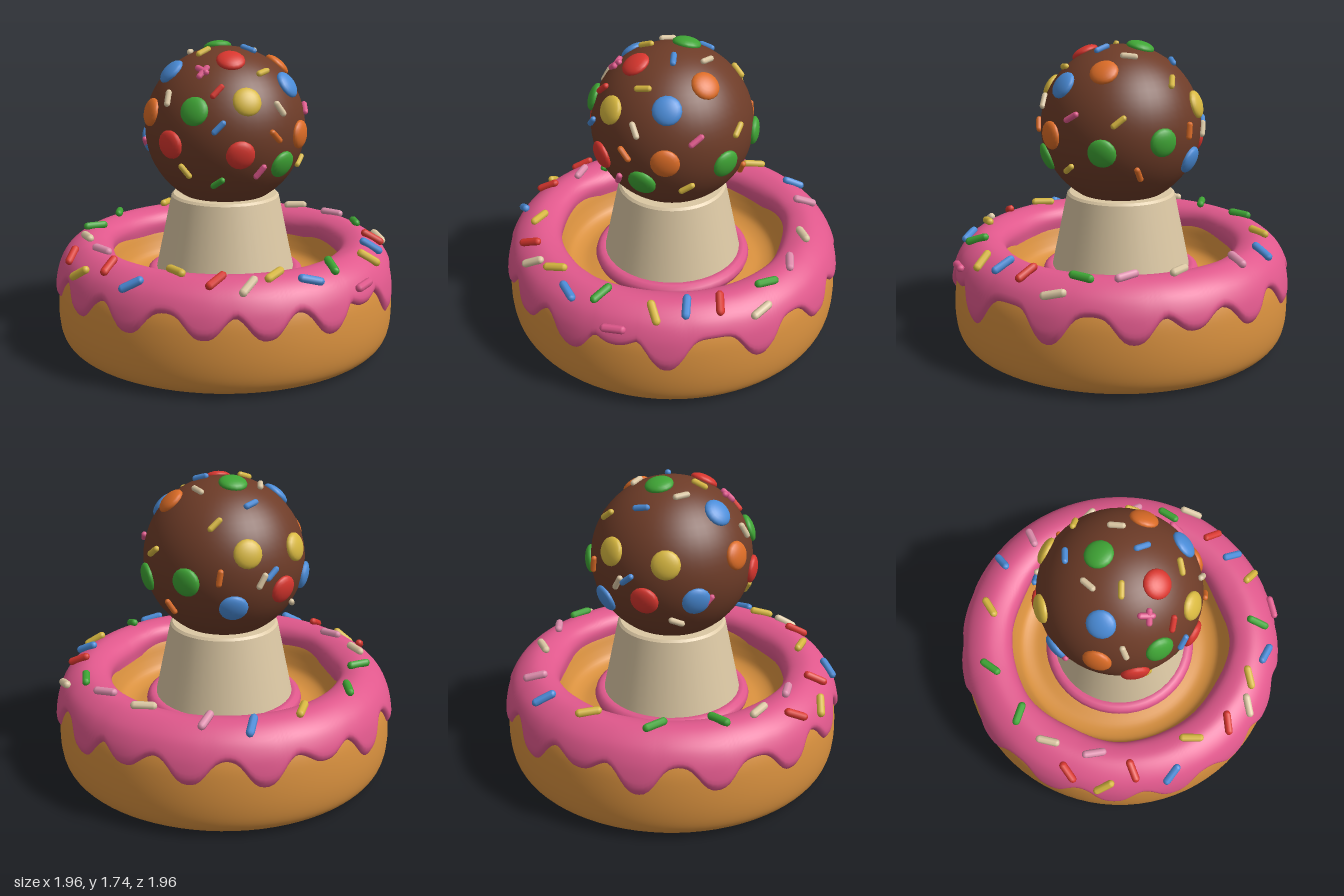
import * as THREE from 'three';

const mat = (name, color) => new THREE.MeshStandardMaterial({ name, color });

export function createModel() {
  const M = {
    dough: mat('dough', 0xd8903e), icing: mat('pink icing', 0xe0588c), cream: mat('cream', 0xdcc8a4),
    choc: mat('chocolate', 0x6e3c28), red: mat('red', 0xd9362e), blue: mat('blue', 0x4a8cd8),
    green: mat('green', 0x3fa535), yellow: mat('yellow', 0xd8b840), orange: mat('orange', 0xdc6c26),
    pale: mat('pale pink', 0xdf8fae),
  };
  const root = new THREE.Group();
  root.name = 'donutTreat';
  const add = (name, geo, m, parent = root) => {
    const mesh = new THREE.Mesh(geo, m);
    mesh.name = name;
    parent.add(mesh);
    return mesh;
  };
  const group = (name) => {
    const g = new THREE.Group();
    g.name = name;
    root.add(g);
    return g;
  };
  const V2 = (p) => p.map(([x, y]) => new THREE.Vector2(x, y));

  // Dough ring with a shallow floor in its hole
  const doughCurve = new THREE.SplineCurve(V2([
    [0, 0], [0.5, 0], [0.8, 0], [0.88, 0.008], [0.935, 0.04], [0.966, 0.1], [0.978, 0.2], [0.972, 0.32],
    [0.95, 0.43], [0.9, 0.52], [0.8, 0.575], [0.72, 0.565], [0.675, 0.5], [0.645, 0.42], [0.61, 0.36],
    [0.54, 0.335], [0.46, 0.345], [0.38, 0.36]]));
  const doughPts = doughCurve.getPoints(72).map((p) => new THREE.Vector2(Math.max(p.x, 0), Math.max(p.y, 0)));
  add('dough', new THREE.LatheGeometry(doughPts, 80), M.dough);

  // Icing: a cross-section swept round, its lower edge running down in drips
  const section = new THREE.SplineCurve(V2([
    [0.668, 0.47], [0.662, 0.54], [0.7, 0.595], [0.78, 0.62], [0.85, 0.605], [0.92, 0.555],
    [0.963, 0.485], [0.985, 0.41], [0.996, 0.33], [0.998, 0.23]]));
  // [angle in degrees from the front, lowest height]
  const drips = [[-55, 0.3], [-30, 0.31], [-10.5, 0.3], [11.5, 0.28], [27, 0.39], [44, 0.25], [75, 0.26],
    [102, 0.29], [121, 0.35], [143, 0.3], [167, 0.28], [188, 0.37], [208, 0.27], [233, 0.29], [260, 0.29], [283, 0.3]];
  const edgeHeight = (deg) => {
    let y = 0.445;
    for (const [a, low] of drips) {
      const d = ((deg - a + 540) % 360) - 180;
      y = Math.min(y, 0.445 - (0.445 - low) * Math.exp(-Math.pow(Math.abs(d) / 6.6, 2.6)));
    }
    return y;
  };
  const findT = (lo, hi, before) => {
    for (let k = 0; k < 20; k++) {
      const mid = (lo + hi) / 2;
      if (before(section.getPoint(mid))) lo = mid; else hi = mid;
    }
    return lo;
  };
  const N = 240, R = 30, pos = [], idx = [];
  for (let i = 0; i < N; i++) {
    const phi = (i / N) * Math.PI * 2;
    const yEnd = edgeHeight((i / N) * 360);
    const t1 = findT(0.4, 1, (p) => p.y > yEnd);
    const wave = 0.012 * Math.sin(phi * 5 + 1) + 0.008 * Math.sin(phi * 8);
    for (let j = 0; j <= R; j++) {
      const u = j / R;
      const p = section.getPoint(t1 * u);
      const r = p.x + wave * Math.max(0, 1 - u * 3) - 0.05 * Math.pow(Math.max(0, (u - 0.87) / 0.13), 3);
      pos.push(r * Math.sin(phi), p.y, r * Math.cos(phi));
      if (j < R) {
        const a = i * (R + 1) + j, c = ((i + 1) % N) * (R + 1) + j;
        idx.push(a, a + 1, c, a + 1, c + 1, c);
      }
    }
  }
  const icing = new THREE.BufferGeometry();
  icing.setAttribute('position', new THREE.Float32BufferAttribute(pos, 3));
  icing.setIndex(idx);
  icing.computeVertexNormals();
  M.icing.side = THREE.DoubleSide;
  add('icing', icing, M.icing);

  // Icing collar round the foot of the stem
  const collar = add('icingCollar', new THREE.TorusGeometry(0.415, 0.045, 10, 48), M.icing);
  collar.rotation.x = Math.PI / 2;
  collar.position.y = 0.39;

  // Tapered stem and chocolate ball
  add('stem', new THREE.LatheGeometry(V2([[0.43, 0.3], [0.43, 0.3], [0.313, 0.86], [0.313, 0.86], [0.3, 0.873],
    [0.3, 0.873], [0, 0.873]]), 40), M.cream);
  const BALL = 0.458, CY = 1.26;
  add('chocolateBall', new THREE.SphereGeometry(BALL, 48, 32), M.choc).position.y = CY;

  // Directions seen from each side: [right, up, toward the viewer]
  const X = new THREE.Vector3(1, 0, 0), Y = new THREE.Vector3(0, 1, 0), Z = new THREE.Vector3(0, 0, 1);
  const neg = (v) => v.clone().negate();
  const side = { front: [X, Y, Z], back: [neg(X), Y, neg(Z)], right: [neg(Z), Y, X], left: [Z, Y, neg(X)], top: [X, neg(Z), Y] };
  const onBall = (s, u, v) => {
    const [e, n, f] = side[s];
    const w = Math.sqrt(Math.max(0, BALL * BALL - u * u - v * v));
    return new THREE.Vector3().addScaledVector(e, u).addScaledVector(n, v).addScaledVector(f, w).normalize();
  };
  const heading = (s, deg) => {
    const a = THREE.MathUtils.degToRad(deg);
    return side[s][0].clone().multiplyScalar(Math.cos(a)).addScaledVector(side[s][1], Math.sin(a));
  };

  // Round candies: [side, u, v from the ball centre, colour]
  const candies = group('candies');
  const candyGeo = new THREE.SphereGeometry(1, 18, 12).scale(0.08, 0.034, 0.08);
  for (const [s, u, v, c] of [
    ['front', -0.06, 0.4, 'red'], ['top', -0.32, 0.01, 'blue'], ['top', 0.3, -0.05, 'orange'], ['front', 0.25, 0.26, 'blue'],
    ['front', -0.05, 0.2, 'yellow'], ['front', -0.31, 0.15, 'green'], ['front', -0.41, -0.04, 'red'],
    ['front', -0.1, -0.08, 'red'], ['front', 0.3, -0.01, 'orange'], ['front', 0.17, -0.16, 'green'],
    ['right', -0.04, -0.07, 'green'], ['right', 0.28, -0.02, 'green'], ['left', 0, 0.11, 'orange'],
    ['top', 0, 0.11, 'green'], ['back', -0.14, -0.16, 'blue'], ['back', -0.07, 0.14, 'yellow'],
    ['back', 0.25, 0.12, 'yellow'], ['back', 0.15, -0.09, 'red'], ['back', 0.37, -0.09, 'blue']]) {
    const n = onBall(s, u, v);
    const m = add('candy', candyGeo, M[c], candies);
    m.position.copy(n).multiplyScalar(BALL).add(new THREE.Vector3(0, CY, 0));
    m.quaternion.setFromUnitVectors(Y, n);
  }

  // Sprinkles lie flat on a surface point, along a heading
  const rod = (r, len) => new THREE.CapsuleGeometry(r, len - 2 * r, 3, 8);
  const lay = (geo, c, point, normal, dir, parent) => {
    const m = add('sprinkle', geo, M[c], parent);
    const d = dir.clone().addScaledVector(normal, -dir.dot(normal)).normalize();
    m.position.copy(point);
    m.quaternion.setFromUnitVectors(Y, d);
  };

  // Ball sprinkles: [side, u, v, heading, colour]
  const ballSprinkles = group('ballSprinkles');
  const smallRod = rod(0.017, 0.1);
  for (const [s, u, v, deg, c] of [
    ['front', -0.22, 0.34, 60, 'icing'], ['front', -0.19, 0.25, 45, 'red'], ['front', -0.21, 0.07, 40, 'blue'],
    ['front', 0.14, 0.15, -58, 'cream'], ['front', 0.1, 0.01, -45, 'orange'], ['front', -0.34, -0.18, -35, 'yellow'],
    ['front', -0.19, -0.24, 50, 'green'], ['front', 0.02, -0.18, 60, 'icing'], ['front', 0.35, -0.18, 5, 'yellow'],
    ['front', -0.39, 0.2, -60, 'cream'], ['right', -0.21, 0.11, 25, 'icing'], ['right', 0.05, 0.1, 40, 'yellow'],
    ['right', 0.15, -0.19, -70, 'orange'], ['top', 0.19, 0.07, 95, 'cream'], ['top', 0.1, -0.09, -48, 'blue'],
    ['top', -0.15, -0.05, 15, 'yellow'], ['top', -0.16, 0.12, 65, 'cream'], ['top', -0.22, -0.2, -80, 'icing'],
    ['top', 0.09, -0.3, 35, 'yellow'], ['back', 0, -0.01, 60, 'cream'], ['back', -0.22, 0.02, 80, 'orange'],
    ['back', 0.06, 0.02, 40, 'blue'], ['back', 0.27, -0.22, -40, 'cream'], ['left', -0.2, -0.1, 50, 'icing'],
    ['back', 0.02, 0.36, 30, 'blue'], ['back', -0.2, 0.28, 40, 'yellow']]) {
    const n = onBall(s, u, v);
    const p = n.clone().multiplyScalar(BALL + 0.008).add(new THREE.Vector3(0, CY, 0));
    lay(smallRod, c, p, n, heading(s, deg), ballSprinkles);
  }

  // Icing sprinkles: [x, z, heading seen from above, colour]
  const icingSprinkles = group('icingSprinkles');
  const bigRod = rod(0.023, 0.145);
  for (const [x, z, deg, c] of [
    [-0.07, -0.8, 48, 'yellow'], [0.24, -0.82, 55, 'blue'], [0.44, -0.69, 40, 'pale'], [0.67, -0.4, -28, 'cream'],
    [0.79, -0.14, -48, 'pale'], [0.82, 0.09, 70, 'green'], [0.9, 0.22, -78, 'cream'], [0.76, 0.39, -40, 'red'],
    [0.66, 0.54, -47, 'blue'], [0.56, 0.68, -32, 'yellow'], [0.43, 0.85, 38, 'icing'], [0.27, 0.79, 88, 'green'],
    [0.1, 0.88, -22, 'blue'], [-0.08, 0.82, 30, 'yellow'], [-0.24, 0.85, 40, 'cream'], [-0.38, 0.76, 28, 'red'],
    [-0.53, 0.58, -75, 'yellow'], [-0.75, 0.52, -6, 'blue'], [-0.8, 0.3, 35, 'red'], [-0.92, 0.16, -25, 'yellow'],
    [-0.9, -0.06, 38, 'red'], [-0.77, 0.06, -65, 'pale'], [-0.77, -0.22, 92, 'cream'], [-0.66, -0.43, -2, 'green'],
    [-0.43, -0.68, 70, 'green']]) {
    const r = Math.hypot(x, z);
    const t = findT(0.15, 1, (p) => p.x < r);
    const tan = section.getTangent(t);
    const n = new THREE.Vector3((-tan.y * x) / r, tan.x, (-tan.y * z) / r).normalize();
    const p = new THREE.Vector3(x, section.getPoint(t).y, z).addScaledVector(n, 0.012);
    lay(bigRod, c, p, n, heading('top', deg), icingSprinkles);
  }
  return root;
}
